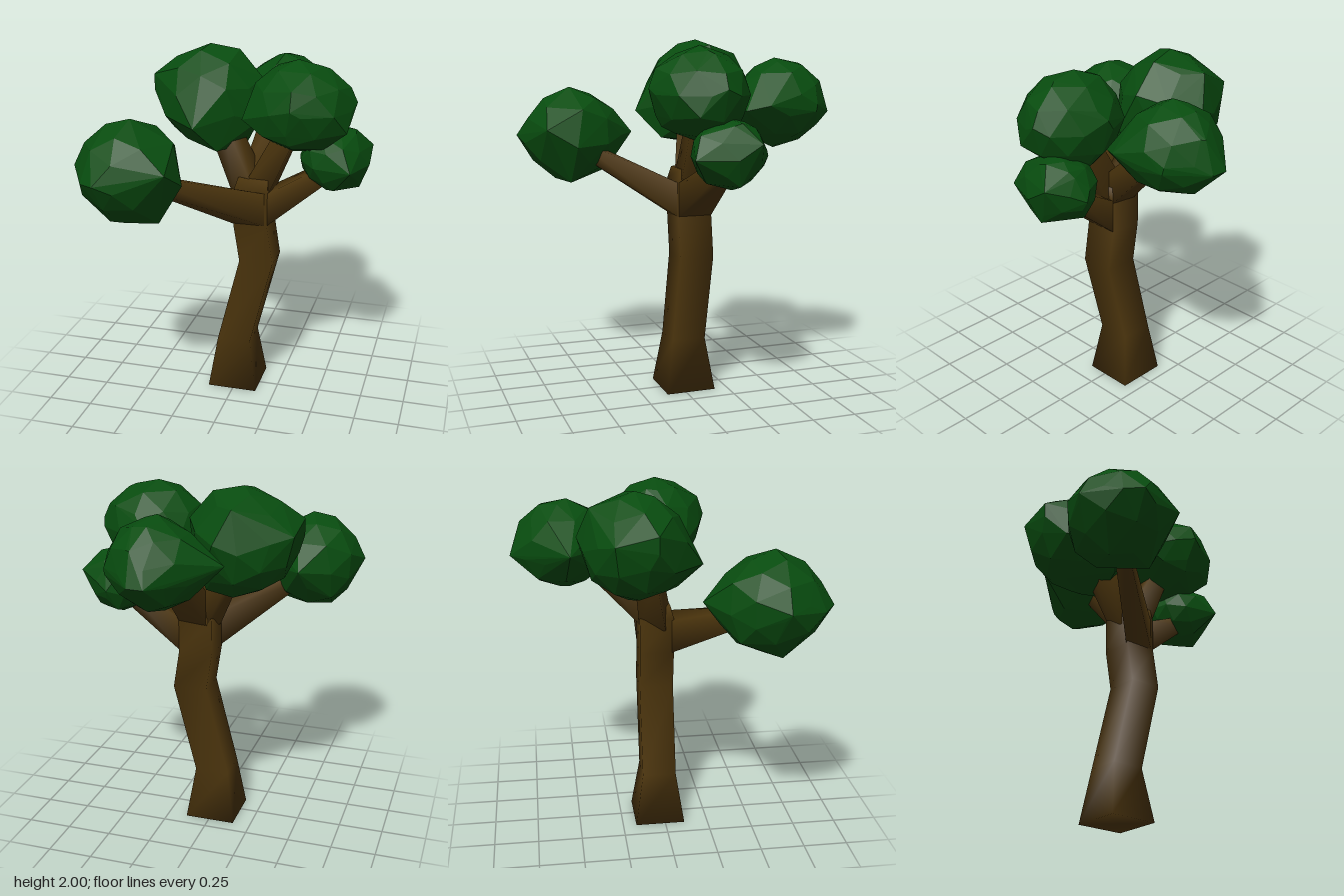
import * as THREE from 'three';
import { ConvexGeometry } from 'three/addons/geometries/ConvexGeometry.js';

const bark = new THREE.MeshStandardMaterial({ color: 0x4c350d });
const leaf = new THREE.MeshStandardMaterial({ color: 0x084c0f, flatShading: true });

const UP = new THREE.Vector3(0, 1, 0);
const FRONT = new THREE.Vector3(0, 0, 1);
const SIDE = new THREE.Vector3(1, 0, 0);

function seeded(seed) {
  let s = seed;
  return () => (s = (s * 16807) % 2147483647) / 2147483647;
}

// Square-section limb lofted through stations [x, y, z, half width].
// The first section faces startDir, the others face lineDir.
function limb(name, stations, startDir, lineDir) {
  const a = stations[0], b = stations[stations.length - 1];
  const line = lineDir ?? new THREE.Vector3(b[0] - a[0], b[1] - a[1], b[2] - a[2]).normalize();
  const pos = [], idx = [];
  stations.forEach(([x, y, z, h], r) => {
    const d = r === 0 && startDir ? startDir : line;
    const v = d === UP ? SIDE : new THREE.Vector3().crossVectors(UP, d).normalize();
    const u = new THREE.Vector3().crossVectors(v, d);
    for (const [i, j] of [[-1, -1], [1, -1], [1, 1], [-1, 1]]) {
      const p = new THREE.Vector3(x, y, z).addScaledVector(u, i * h).addScaledVector(v, j * h);
      pos.push(p.x, p.y, p.z);
    }
    if (r === 0) return;
    for (let k = 0; k < 4; k++) {
      const m = (r - 1) * 4 + k, n = (r - 1) * 4 + (k + 1) % 4;
      idx.push(m, n, n + 4, m, n + 4, m + 4);
    }
  });
  const t = (stations.length - 1) * 4;
  idx.push(0, 2, 1, 0, 3, 2, t, t + 1, t + 2, t, t + 2, t + 3);
  const g = new THREE.BufferGeometry();
  g.setAttribute('position', new THREE.Float32BufferAttribute(pos, 3));
  g.setIndex(idx);
  g.computeVertexNormals();
  const mesh = new THREE.Mesh(g, bark);
  mesh.name = name;
  return mesh;
}

// Faceted foliage clump: hull of a roughened ellipsoid and a few outlying corners
function clump(name, seed, center, radius, corners) {
  const rnd = seeded(seed);
  const turn = new THREE.Euler(rnd() * 6, rnd() * 6, rnd() * 6);
  const ball = new THREE.IcosahedronGeometry(1, 1).getAttribute('position');
  const unique = new Map();
  for (let i = 0; i < ball.count; i++) {
    const p = new THREE.Vector3().fromBufferAttribute(ball, i);
    unique.set(p.toArray().map((n) => Math.round(n * 100)).join(), p);
  }
  const points = [...unique.values()].map((p) => p
    .applyEuler(turn)
    .multiplyScalar(0.93 + rnd() * 0.07)
    .multiply(new THREE.Vector3(...radius))
    .add(new THREE.Vector3(...center)));
  for (const c of corners) points.push(new THREE.Vector3(...c));
  const mesh = new THREE.Mesh(new ConvexGeometry(points), leaf);
  mesh.name = name;
  return mesh;
}

export function createModel() {
  const tree = new THREE.Group();
  tree.name = 'tree';

  // Crooked trunk with a flared foot
  tree.add(limb('trunk', [
    [-0.005, 0, -0.03, 0.143], [-0.005, 0.3, -0.03, 0.097], [0.125, 0.81, -0.03, 0.097],
    [0.09, 1.03, -0.03, 0.097], [0.09, 1.23, -0.03, 0.097], [0.1, 1.3, -0.035, 0.085],
  ], UP, UP));

  // Lower branches grow out of the trunk's front and side faces
  tree.add(limb('frontBranch', [[0.09, 1.125, 0.055, 0.096], [-0.43, 1.4, 0.5, 0.033]], FRONT));
  tree.add(limb('leftBranch', [[0.175, 1.125, -0.03, 0.096], [0.55, 1.38, -0.09, 0.04]], SIDE));

  // Upper branches start inside the trunk top
  tree.add(limb('upperRightBranch', [[0.075, 1.2, -0.03, 0.075], [-0.12, 1.58, -0.1, 0.06]]));
  tree.add(limb('upperLeftBranch', [[0.105, 1.2, -0.03, 0.075], [0.33, 1.66, -0.01, 0.05]]));
  tree.add(limb('backBranch', [[0.1, 1.23, -0.04, 0.08], [0.14, 1.67, -0.5, 0.055]]));

  // Foliage
  tree.add(clump('frontFoliage', 11, [-0.445, 1.45, 0.505], [0.272, 0.275, 0.305], [
    [-0.42, 1.46, 0.155], [-0.73, 1.47, 0.55], [-0.42, 1.73, 0.53], [-0.54, 1.175, 0.56],
    [-0.27, 1.19, 0.56], [-0.52, 1.45, 0.825], [-0.18, 1.5, 0.71], [-0.145, 1.4, 0.545],
    [-0.2, 1.61, 0.5], [-0.61, 1.44, 0.76],
  ]));
  tree.add(clump('topFoliage', 23, [-0.2, 1.7, -0.17], [0.295, 0.295, 0.3], [
    [-0.2, 1.6, 0.195], [-0.505, 1.83, -0.08], [-0.505, 1.74, -0.08], [-0.5, 1.78, -0.3],
    [-0.2, 2.0, -0.17], [-0.04, 1.97, -0.2], [-0.2, 1.92, -0.41], [-0.12, 1.75, -0.475],
    [0.09, 1.82, -0.2], [0.1, 1.6, -0.08], [0, 1.43, -0.2], [-0.15, 1.4, -0.2],
    [-0.1, 1.45, 0.07],
  ]));
  tree.add(clump('leftFoliage', 37, [0.355, 1.715, 0.005], [0.295, 0.25, 0.275], [
    [0.06, 1.66, 0.14], [0.06, 1.67, -0.04], [0.335, 1.97, 0], [0.47, 1.94, 0],
    [0.65, 1.75, -0.04], [0.62, 1.61, 0.1], [0.32, 1.475, 0.03], [0.35, 1.75, 0.285],
    [0.35, 1.77, -0.265], [0.35, 1.85, 0.25], [0.33, 1.55, 0.21], [0.2, 1.92, 0],
    [0.43, 1.44, -0.12], [0.35, 1.58, -0.22],
  ]));
  tree.add(clump('backFoliage', 53, [0.16, 1.65, -0.53], [0.26, 0.245, 0.275], [
    [-0.2, 1.66, -0.51], [0.11, 1.6, -0.83], [0.2, 1.6, -0.825], [0.38, 1.65, -0.67],
    [0.43, 1.65, -0.37], [0.36, 1.62, -0.26], [0.18, 1.66, -0.23], [0.15, 1.9, -0.51],
    [0.15, 1.4, -0.51], [0.15, 1.44, -0.67], [0.15, 1.87, -0.66], [0.2, 1.77, -0.77],
  ]));
  tree.add(clump('smallFoliage', 71, [0.53, 1.42, -0.09], [0.195, 0.185, 0.21], [
    [0.65, 1.4, 0.135], [0.335, 1.42, -0.1], [0.53, 1.6, -0.08], [0.64, 1.58, -0.12],
    [0.725, 1.48, -0.2], [0.725, 1.4, -0.07], [0.67, 1.26, -0.1], [0.55, 1.23, -0.1],
    [0.54, 1.4, -0.308], [0.6, 1.52, 0.09], [0.55, 1.27, 0.04], [0.58, 1.55, -0.22],
    [0.5, 1.28, -0.24], [0.42, 1.4, 0.06],
  ]));
  return tree;
}
